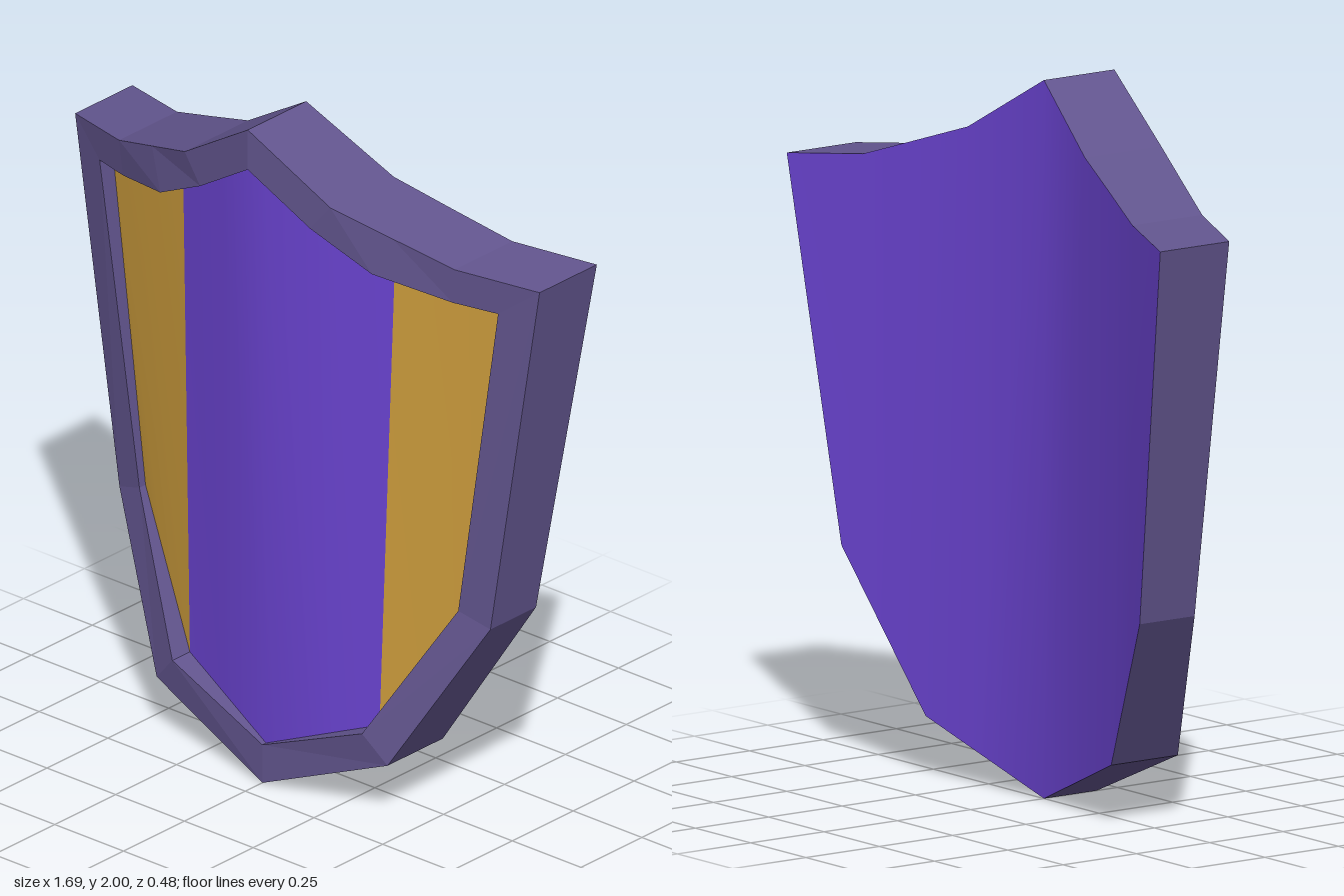
import * as THREE from 'three';

// Outline of the left half, from top centre to bottom centre: x, y, front z, back z
const outer = [
  [0, 2, 0.24, 0], [0.265, 1.835, 0.2, -0.06], [0.437, 1.775, 0.14, -0.108], [0.61, 1.715, 0.08, -0.158],
  [0.845, 1.69, -0.005, -0.24], [0.675, 0.62, 0.005, -0.182], [0.42, 0.175, 0.14, -0.087], [0, 0.003, 0.18, 0],
];
// Inner edge of the frame: x, y, front z, recessed panel z
const inner = [
  [0, 1.88, 0.24, 0.165], [0.2, 1.755, 0.21, 0.123], [0.385, 1.66, 0.165, 0.07], [0.6, 1.61, 0.075, 0.01],
  [0.725, 1.6, 0.03, -0.025], [0.58, 0.655, 0.03, 0.005], [0.345, 0.255, 0.16, 0.088], [0, 0.118, 0.18, 0.165],
];

const mirror = ([x, y, z]) => [-x, y, z];

// Closed ring of points using the given z column, clockwise from the front
function ring(half, k) {
  const pts = half.map((p) => [p[0], p[1], p[k]]);
  return [...pts, ...pts.slice(1, -1).reverse().map(mirror)];
}

// Grid of rows joined by quads
function skin(rows, closed, flip = false) {
  const n = rows[0].length, index = [];
  for (let r = 0; r < rows.length - 1; r++) {
    for (let i = 0; i < (closed ? n : n - 1); i++) {
      const j = (i + 1) % n;
      const a = r * n + i, b = r * n + j, c = (r + 1) * n + j, d = (r + 1) * n + i;
      if (flip) index.push(a, c, d, a, b, c);
      else index.push(a, d, c, a, c, b);
    }
  }
  const geo = new THREE.BufferGeometry();
  geo.setAttribute('position', new THREE.Float32BufferAttribute(rows.flat(2), 3));
  geo.setIndex(index);
  geo.computeVertexNormals();
  return geo;
}

// Top and bottom edges of a curved face, with matching points per column
function edges(half, k) {
  const p = half.map((q) => [q[0], q[1], q[k]]);
  const mix = (a, b, t) => a.map((v, i) => v + (b[i] - v) * t);
  return [p.slice(0, 5), [p[7], mix(p[7], p[6], 0.6), p[6], mix(p[6], p[5], 0.6), p[5]]];
}
const across = (row) => [...row.slice(1).reverse().map(mirror), ...row];

export function createModel() {
  const group = new THREE.Group();
  const add = (name, geo, color, flatShading = false) => {
    const mesh = new THREE.Mesh(geo, new THREE.MeshStandardMaterial({ color, flatShading }));
    mesh.name = name;
    group.add(mesh);
  };
  const purple = 0x6b44d2, gold = 0xcc9c3c, dusk = 0x62558e;

  // Frame: outer wall, front rim and inner wall
  const frame = skin([ring(outer, 3), ring(outer, 2), ring(inner, 2), ring(inner, 3)], true).toNonIndexed();
  frame.computeVertexNormals();
  add('frame', frame, dusk, true);

  // Curved back
  add('back', skin(edges(outer, 3).map(across), false, true), purple);

  // Recessed front: purple centre with a gold panel on each side
  const panel = edges(inner, 3);
  add('centrePanel', skin(panel.map((row) => across(row.slice(0, 3))), false), purple);
  const side = panel.map((row) => row.slice(2));
  add('leftPanel', skin(side, false), gold);
  add('rightPanel', skin(side.map((row) => row.map(mirror).reverse()), false), gold);

  return group;
}
